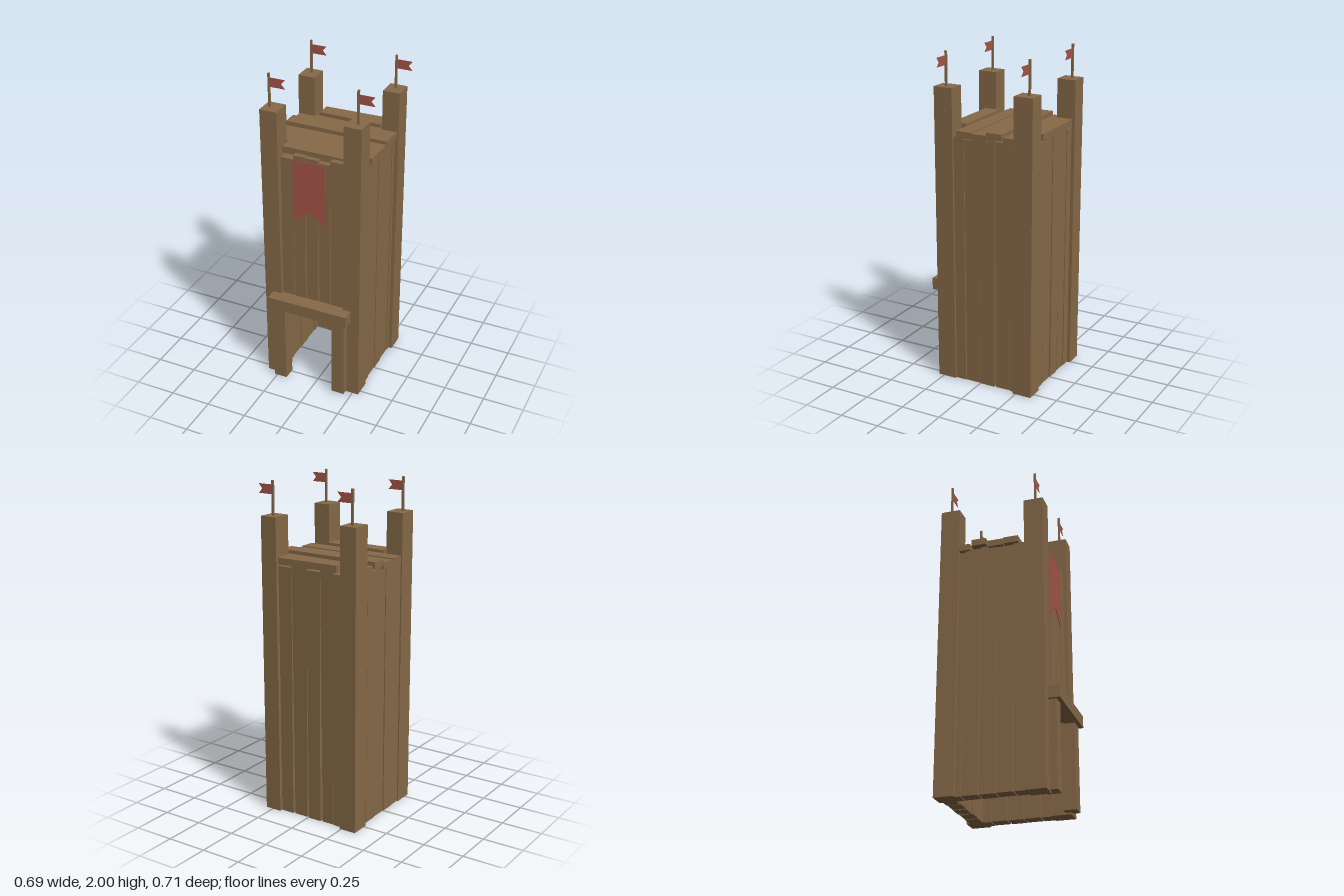
import * as THREE from 'three';

const wood = new THREE.MeshStandardMaterial({ color: 0x876a48 });
wood.name = 'weathered wood';
const red = new THREE.MeshStandardMaterial({ color: 0xa85549, side: THREE.DoubleSide });
red.name = 'red cloth';

export function createModel() {
  const model = new THREE.Group();
  model.name = 'watchtower';

  const add = (name, geometry, material = wood) => {
    const mesh = new THREE.Mesh(geometry, material);
    mesh.name = name;
    model.add(mesh);
    return mesh;
  };
  // Box given by its limits on each axis
  const block = (name, x0, x1, y0, y1, z0, z1) =>
    add(name, new THREE.BoxGeometry(x1 - x0, y1 - y0, z1 - z0))
      .position.set((x0 + x1) / 2, (y0 + y1) / 2, (z0 + z1) / 2);
  // Flat outline pushed out along +z
  const slab = (points, depth) => new THREE.ExtrudeGeometry(
    new THREE.Shape(points.map(([x, y]) => new THREE.Vector2(x, y))),
    { depth, bevelEnabled: false });
  // Upright board, slightly crooked: lower edges a0, a1 and upper edges b0, b1
  const upright = (a0, a1, b0, b1, y0, y1, depth) =>
    slab([[a0, y0], [a1, y0], [b1, y1], [b0, y1]], depth);

  // Corner posts, each with a pole and a swallowtail pennant
  const corners = [
    [-0.345, -0.24, -0.35, -0.233, -0.303], [0.193, 0.297, -0.35, -0.233, -0.303],
    [-0.328, -0.222, 0.167, 0.285, 0.228], [0.184, 0.288, 0.167, 0.285, 0.228],
  ];
  for (const [x0, x1, z0, z1, pz] of corners) {
    const px = x0 < 0 ? -0.292 : 0.244;
    block('cornerPost', x0, x1, 0, 1.8, z0, z1);
    block('flagPole', px - 0.006, px + 0.006, 1.79, 2, pz - 0.006, pz + 0.006);
    const flag = add('pennant', slab(
      [[0, 1.92], [0.098, 1.92], [0.074, 1.947], [0.098, 1.975], [0, 1.975]], 0.002), red);
    flag.position.set(px, 0, pz - 0.001);
  }

  // Front wall above the doorway
  const frontPlanks = [
    [-0.222, -0.145, -0.215, -0.136, 1.52, 0.262], [-0.137, -0.068, -0.135, -0.06, 1.55, 0.267],
    [-0.06, 0.012, -0.058, 0.018, 1.545, 0.263], [0.02, 0.09, 0.019, 0.094, 1.53, 0.263],
    [0.099, 0.184, 0.095, 0.175, 1.56, 0.267],
  ];
  for (const [a0, a1, b0, b1, top, z] of frontPlanks) {
    add('frontPlank', upright(a0, a1, b0, b1, 0.55, top, 0.08)).position.z = z - 0.08;
  }

  // Back wall
  const backPlanks = [
    [-0.27, -0.185, -0.27, -0.183], [-0.18, -0.102, -0.183, -0.093], [-0.088, -0.005, -0.093, 0],
    [0.008, 0.098, 0, 0.103], [0.11, 0.225, 0.103, 0.225],
  ];
  backPlanks.forEach(([a0, a1, b0, b1], i) => {
    add('backPlank', upright(a0, a1, b0, b1, 0, 1.52 + 0.01 * (i % 2), 0.08))
      .position.z = -0.33 + 0.004 * (i % 2);
  });

  // Side walls
  const sidePlanks = [
    [-0.29, -0.203, -0.29, -0.2], [-0.197, -0.103, -0.199, -0.1], [-0.096, -0.004, -0.1, -0.001],
    [0.001, 0.097, 0, 0.099], [0.102, 0.2, 0.1, 0.2],
  ];
  for (const outer of [0.275, -0.24]) {
    sidePlanks.forEach(([a0, a1, b0, b1], i) => {
      const geometry = upright(a0, a1, b0, b1, 0, 1.51 + 0.01 * (i % 3), 0.08);
      geometry.rotateY(-Math.PI / 2);
      add('sidePlank', geometry).position.x = outer - 0.004 * (i % 2);
    });
  }

  // Roof boards: x limits, z limits at each end, top height
  const roofBoards = [
    [-0.215, 0.175, -0.345, -0.255, -0.355, -0.25, 1.575],
    [-0.34, 0.287, -0.252, -0.167, -0.247, -0.157, 1.555],
    [-0.345, 0.298, -0.155, -0.065, -0.157, -0.06, 1.575],
    [-0.34, 0.292, -0.052, 0.04, -0.06, 0.04, 1.555],
    [-0.34, 0.291, 0.043, 0.133, 0.043, 0.14, 1.56],
    [-0.215, 0.175, 0.143, 0.235, 0.143, 0.235, 1.575],
  ];
  for (const [x0, x1, l0, l1, r0, r1, top] of roofBoards) {
    const geometry = slab([[x0, l0], [x1, r0], [x1, r1], [x0, l1]], 0.04);
    geometry.rotateX(Math.PI / 2);
    add('roofBoard', geometry).position.y = top;
  }

  // Door frame
  block('leftDoorJamb', 0.13, 0.21, 0.01, 0.54, 0.25, 0.33);
  block('rightDoorJamb', -0.26, -0.18, 0.01, 0.54, 0.25, 0.33);
  block('doorLintel', -0.278, 0.233, 0.53, 0.603, 0.265, 0.355);

  // Hanging banner with a notched lower edge
  add('banner', slab(
    [[-0.135, 1.12], [-0.032, 1.21], [0.07, 1.12], [0.07, 1.52], [-0.135, 1.525]], 0.003), red)
    .position.z = 0.27;

  return model;
}
